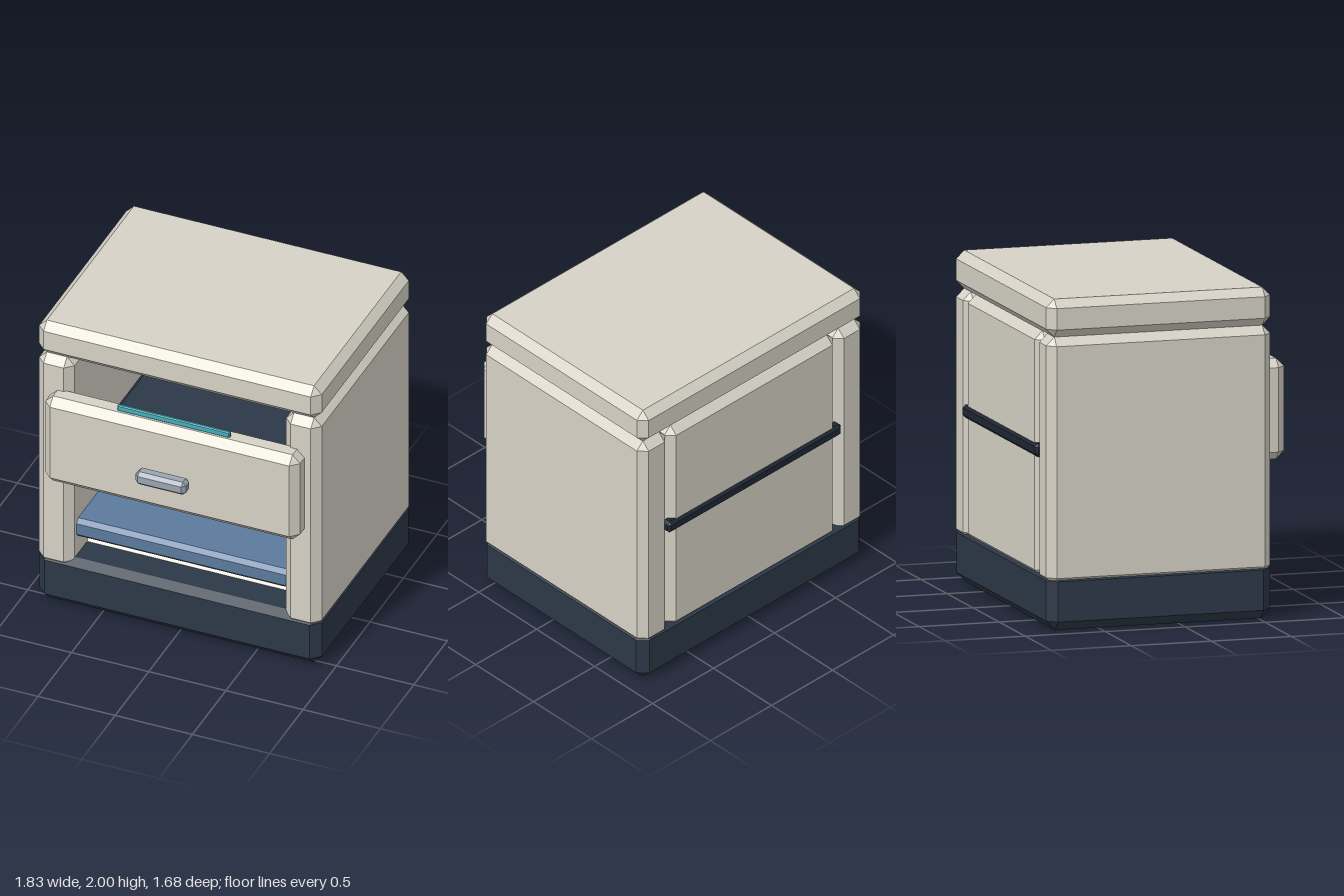
import * as THREE from 'three';
import { ConvexGeometry } from 'three/addons/geometries/ConvexGeometry.js';

const paint = (color) => new THREE.MeshStandardMaterial({ color, flatShading: true });

// Box with bevelled edges and corners, given by its limits on each axis.
// topBevel sets the height of the upper bevel when it differs from the others.
function bevelledBox(name, [x0, x1], [y0, y1], [z0, z1], bevel, material, topBevel = bevel) {
  const points = [];
  for (const sx of [0, 1]) for (const sy of [0, 1]) for (const sz of [0, 1]) {
    const x = sx ? x1 : x0, y = sy ? y1 : y0, z = sz ? z1 : z0;
    const ix = x + (sx ? -bevel : bevel);
    const iy = y + (sy ? -topBevel : bevel);
    const iz = z + (sz ? -bevel : bevel);
    points.push(
      new THREE.Vector3(x, iy, iz),
      new THREE.Vector3(ix, y, iz),
      new THREE.Vector3(ix, iy, z)
    );
  }
  const mesh = new THREE.Mesh(new ConvexGeometry(points), material);
  mesh.name = name;
  return mesh;
}

export function createModel() {
  const group = new THREE.Group();
  group.name = 'bedsideCabinet';

  const cream = paint(0xd6d2c6);
  const navy = paint(0x2c3847);
  const blue = paint(0x5b7a9d);
  const steel = paint(0x9aa5b1);
  const teal = paint(0x3fb0bd);
  const dark = paint(0x1f2733);

  const add = (...args) => group.add(bevelledBox(...args));

  // Carcass
  add('base', [-0.915, 0.915], [0, 0.335], [-0.825, 0.575], 0.057, navy, 0.035);
  add('top', [-0.915, 0.915], [1.77, 2], [-0.825, 0.575], 0.05, cream);
  add('leftSide', [0.685, 0.915], [0.27, 1.77], [-0.825, 0.575], 0.05, cream);
  add('rightSide', [-0.915, -0.685], [0.27, 1.77], [-0.825, 0.575], 0.05, cream);
  add('backPanel', [-0.69, 0.69], [0.28, 1.77], [-0.825, -0.67], 0.05, cream);
  add('floorPanel', [-0.73, 0.73], [0.27, 0.377], [-0.75, 0.34], 0.042, cream);

  // Open shelf, its ends let into the sides
  add('shelf', [-0.72, 0.72], [0.46, 0.59], [-0.7, 0.5], 0.027, blue);

  // Drawer
  add('drawerBox', [-0.6, 0.6], [1.0, 1.2], [-0.52, 0.54], 0.03, navy);
  add('drawerFront', [-0.825, 0.825], [0.94, 1.55], [0.51, 0.69], 0.05, cream);
  add('drawerHandle', [-0.163, 0.163], [1.2, 1.29], [0.75, 0.84], 0.022, steel);
  add('lightStrip', [-0.365, 0.365], [1.55, 1.59], [0.608, 0.632], 0.006, teal);

  // Rail across the back
  add('backRail', [-0.71, 0.71], [1.02, 1.1], [-0.84, -0.77], 0.018, dark);

  return group;
}
